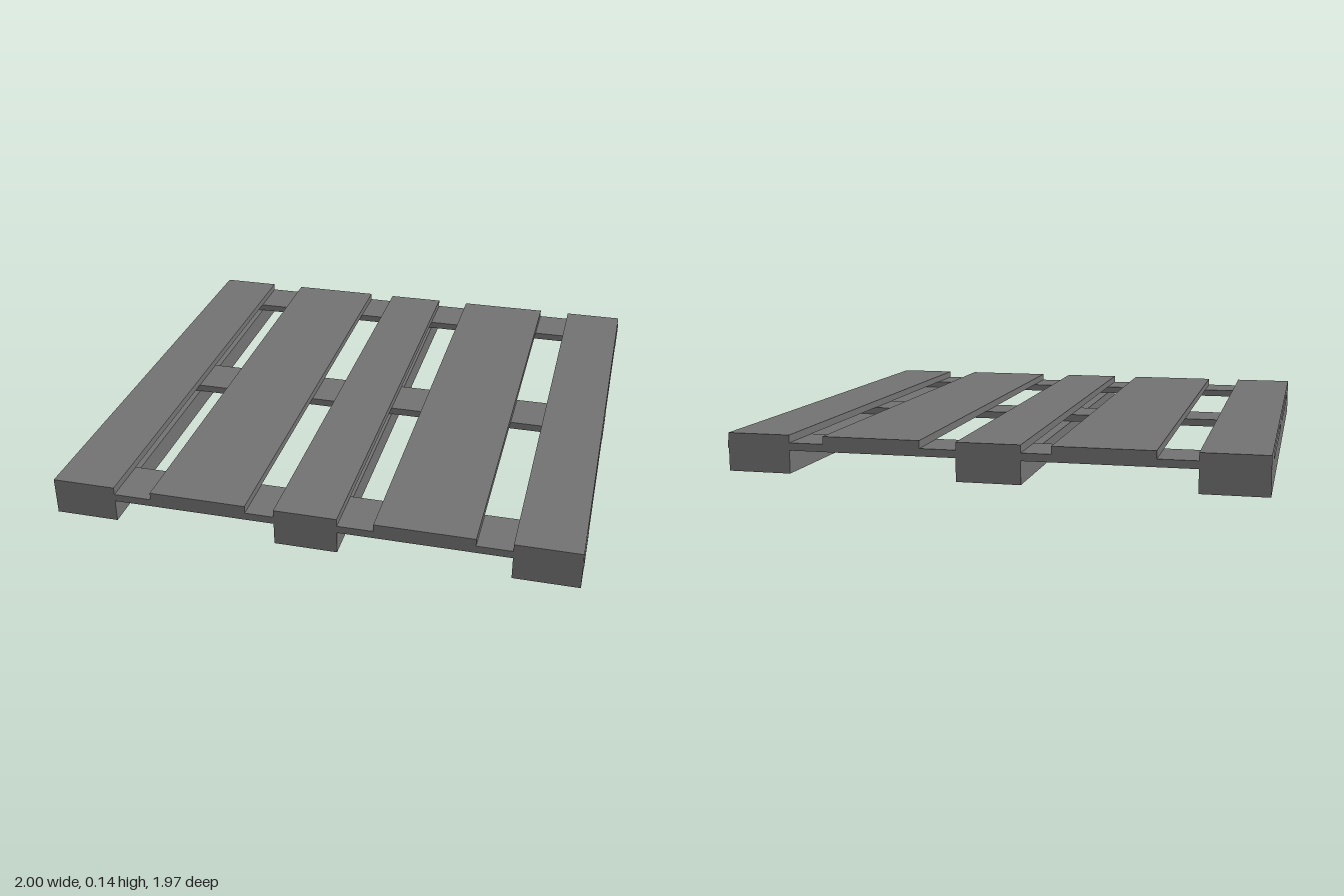
import * as THREE from 'three';

const HALF_LENGTH = 0.984;
const RUNNER_TOP = 0.087, CROSS_TOP = 0.116, DECK_TOP = 0.145;

export function createModel() {
  const pallet = new THREE.Group();
  pallet.name = 'pallet';
  const material = new THREE.MeshStandardMaterial({ color: 0x747474 });

  // Board given by its extents along each axis
  function board(name, [x0, x1], [y0, y1], [z0, z1]) {
    const mesh = new THREE.Mesh(new THREE.BoxGeometry(x1 - x0, y1 - y0, z1 - z0), material);
    mesh.position.set((x0 + x1) / 2, (y0 + y1) / 2, (z0 + z1) / 2);
    mesh.name = name;
    pallet.add(mesh);
  }

  const fullLength = [-HALF_LENGTH, HALF_LENGTH];
  const right = [-1, -0.755], middle = [-0.128, 0.112], left = [0.753, 0.997];

  // Thick runners on the ground
  [['rightRunner', right], ['middleRunner', middle], ['leftRunner', left]]
    .forEach(([name, x]) => board(name, x, [0, RUNNER_TOP], fullLength));

  // Cross boards lying over the runners
  [['backCrossBoard', [-HALF_LENGTH, -0.786]],
    ['middleCrossBoard', [-0.107, 0.091]],
    ['frontCrossBoard', [0.785, HALF_LENGTH]]]
    .forEach(([name, z]) => board(name, [-1, 1], [RUNNER_TOP, CROSS_TOP], z));

  // Deck planks: narrow over the runners, wide between them
  [['rightDeckPlank', right], ['rightWidePlank', [-0.61, -0.238]], ['middleDeckPlank', middle],
    ['leftWidePlank', [0.248, 0.621]], ['leftDeckPlank', left]]
    .forEach(([name, x]) => board(name, x, [CROSS_TOP, DECK_TOP], fullLength));

  return pallet;
}
